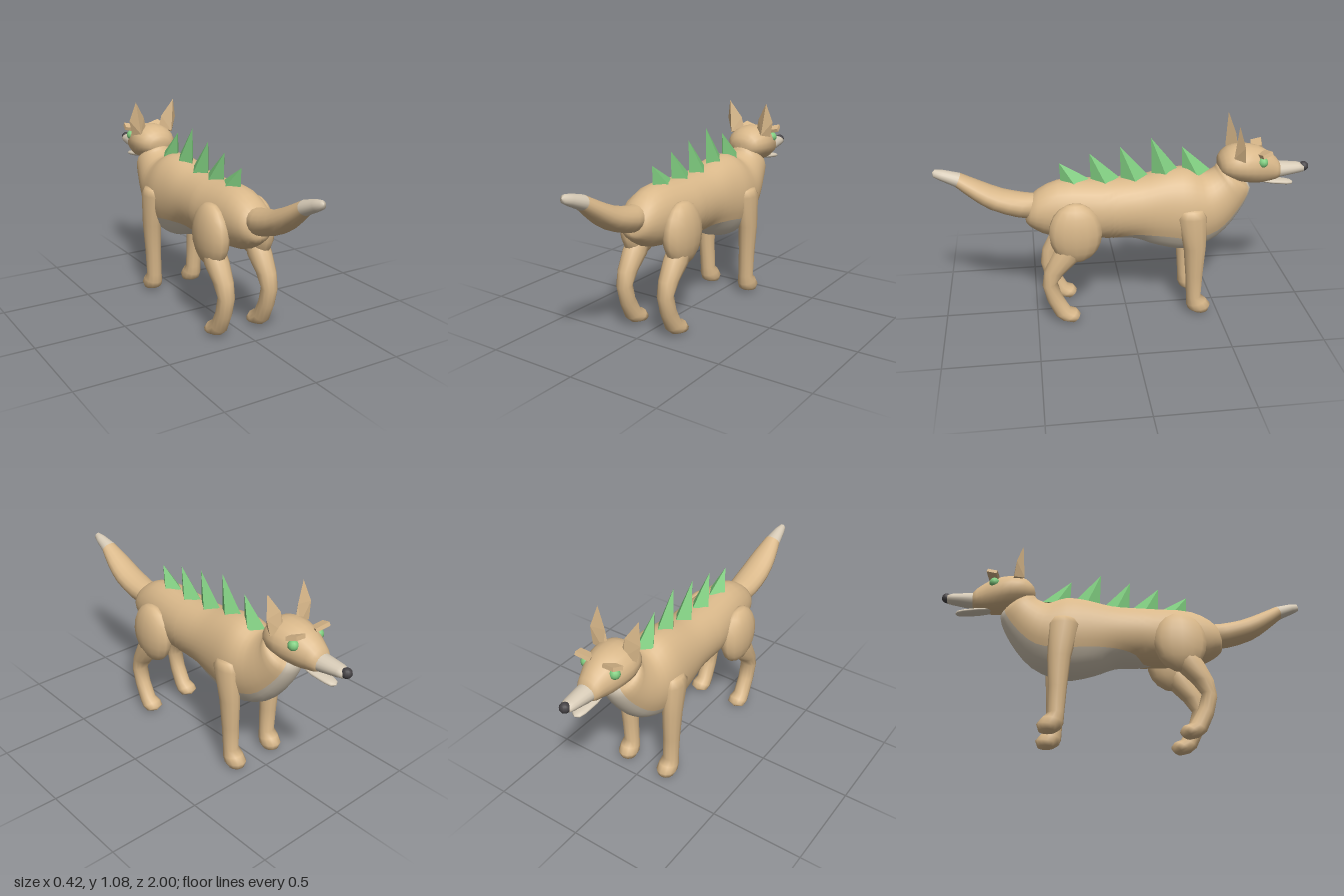
import * as THREE from 'three';
import { ConvexGeometry } from 'three/addons/geometries/ConvexGeometry.js';

const mat = (name, color) => Object.assign(new THREE.MeshStandardMaterial({ color }), { name });

// Insert smoothly interpolated rows between the given cross-sections.
function refine(rows, n) {
  const out = [];
  const at = (i, k) => rows[Math.min(Math.max(i, 0), rows.length - 1)][k] ?? 0;
  for (let i = 0; i < rows.length - 1; i++) {
    for (let s = 0; s < n; s++) {
      const t = s / n;
      out.push([0, 1, 2, 3, 4, 5].map((k) => {
        const a = at(i - 1, k), b = at(i, k), c = at(i + 1, k), d = at(i + 2, k);
        return b + 0.5 * t * (c - a + t * (2 * a - 5 * b + 4 * c - d + t * (3 * (b - c) + d - a)));
      }));
    }
  }
  out.push(rows[rows.length - 1]);
  return out;
}

// Skin elliptical rings. Row: [zA, yA, zB, yB, half width, extra]; A and B are opposite ring points.
// range(row) gives the start and end angle (0 at A), centre(row) the x offset.
function loft(rows, { sides = 16, range = () => [0, Math.PI * 2], centre = () => 0, closed = true } = {}) {
  const pos = [], idx = [], n = closed ? sides : sides + 1;
  rows.forEach((r) => {
    const [a, b] = range(r);
    for (let j = 0; j < n; j++) {
      const t = a + (b - a) * j / sides, c = Math.cos(t) / 2;
      pos.push(centre(r) + Math.max(r[4], 0) * Math.sin(t),
        (r[1] + r[3]) / 2 + (r[1] - r[3]) * c,
        (r[0] + r[2]) / 2 + (r[0] - r[2]) * c);
    }
  });
  for (let i = 0; i < rows.length - 1; i++) {
    for (let j = 0; j < sides; j++) {
      const k = (j + 1) % n, p = i * n, q = p + n;
      idx.push(p + j, p + k, q + j, p + k, q + k, q + j);
    }
  }
  const g = new THREE.BufferGeometry();
  g.setAttribute('position', new THREE.Float32BufferAttribute(pos, 3));
  g.setIndex(idx);
  g.computeVertexNormals();
  return g;
}

const hull = (pts) => new ConvexGeometry(pts.map((p) => new THREE.Vector3(...p)));

export function createModel() {
  const root = new THREE.Group();
  const tan = mat('tanFur', 0xd9b88a), cream = mat('creamFur', 0xd6cab6);
  const green = mat('green', 0x7fcc7f), dark = mat('darkNose', 0x454245);
  const add = (name, geo, material, x = 0, y = 0, z = 0) => {
    const m = new THREE.Mesh(geo, material);
    m.name = name;
    m.position.set(x, y, z);
    root.add(m);
    return m;
  };

  // Body and neck; the last number is the half angle of the pale underside
  const body = refine([
    [0.53, 0.62, 0.54, 0.58, 0, 0],
    [0.50, 0.71, 0.52, 0.54, 0.085, 0],
    [0.36, 0.785, 0.40, 0.475, 0.125, 0],
    [0.14, 0.785, 0.14, 0.45, 0.15, 0],
    [0.05, 0.785, 0.05, 0.445, 0.15, 0.6],
    [-0.08, 0.79, -0.05, 0.435, 0.15, 0.85],
    [-0.22, 0.82, -0.17, 0.385, 0.16, 1.03],
    [-0.33, 0.825, -0.33, 0.355, 0.17, 1.05],
    [-0.42, 0.79, -0.50, 0.42, 0.15, 0.95],
    [-0.48, 0.81, -0.62, 0.56, 0.125, 0.85],
    [-0.50, 0.83, -0.68, 0.70, 0.10, 0.7],
    [-0.56, 0.80, -0.62, 0.75, 0, 0.7],
  ], 3);
  const belly = (r) => Math.max(r[5], 0);
  add('body', loft(body, {
    sides: 24, closed: false, range: (r) => [belly(r) - Math.PI, Math.PI - belly(r)],
  }), tan);
  add('belly', loft(body.filter((r) => r[0] < 0.15), {
    sides: 10, closed: false, range: (r) => [Math.PI - belly(r), Math.PI + belly(r)],
  }), cream);

  // Tail with pale tip
  const seam = [0.858, 0.853, 0.89, 0.785, 0.046];
  add('tailTip', loft([
    [1.0, 0.868, 1.0, 0.862, 0],
    [0.985, 0.882, 0.997, 0.842, 0.018],
    [0.94, 0.876, 0.965, 0.823, 0.03],
    seam,
  ]), cream);
  add('tail', loft(refine([
    seam,
    [0.756, 0.80, 0.81, 0.715, 0.07],
    [0.645, 0.75, 0.72, 0.65, 0.082],
    [0.53, 0.722, 0.585, 0.597, 0.08],
    [0.46, 0.71, 0.50, 0.59, 0.06],
    [0.44, 0.65, 0.44, 0.65, 0],
  ], 2)), tan);

  // Head, snout and open lower jaw
  add('head', loft(refine([
    [-0.498, 0.85, -0.498, 0.82, 0],
    [-0.505, 0.885, -0.51, 0.785, 0.07],
    [-0.55, 0.928, -0.56, 0.752, 0.112],
    [-0.62, 0.942, -0.64, 0.735, 0.125],
    [-0.71, 0.93, -0.72, 0.725, 0.105],
    [-0.79, 0.885, -0.78, 0.73, 0.075],
    [-0.835, 0.835, -0.83, 0.745, 0.053],
    [-0.84, 0.79, -0.84, 0.78, 0],
  ], 2), { sides: 18 }), tan);
  add('snout', loft([
    [-0.78, 0.845, -0.78, 0.745, 0.05],
    [-0.84, 0.835, -0.84, 0.748, 0.052],
    [-0.94, 0.825, -0.94, 0.765, 0.04],
    [-0.97, 0.815, -0.97, 0.772, 0.032],
    [-0.975, 0.795, -0.975, 0.79, 0],
  ]), cream);
  add('lowerJaw', loft([
    [-0.72, 0.745, -0.72, 0.73, 0.03],
    [-0.80, 0.742, -0.80, 0.712, 0.04],
    [-0.88, 0.73, -0.88, 0.702, 0.034],
    [-0.91, 0.723, -0.91, 0.7, 0.024],
    [-0.922, 0.712, -0.922, 0.708, 0],
  ]), cream);
  add('nose', new THREE.SphereGeometry(0.027, 12, 8), dark, 0, 0.8, -0.975);

  // Back spikes: upright rear edge, sloping front, diamond base
  [[0.27, 0.885], [0.11, 0.93], [-0.05, 0.96], [-0.215, 1.0], [-0.38, 0.945]].forEach(([z, tip], i) => {
    const base = i > 2 ? 0.79 : 0.77;
    add('backSpike', hull([
      [0, tip, z + 0.08], [0, base, z + 0.075], [0, base + 0.02, z - 0.075],
      [0.05, base, z], [-0.05, base, z],
    ]), green);
  });

  for (const s of [1, -1]) {
    const side = s > 0 ? 'left' : 'right';

    // Ear: leaf outline with a ridge on the rear face
    add(side + 'Ear', hull([
      [0.121, 1.085, -0.575], [0.058, 0.987, -0.605], [0.15, 0.975, -0.605],
      [0.043, 0.922, -0.61], [0.132, 0.886, -0.615], [0.06, 0.89, -0.625],
      [0.1, 0.9, -0.56], [0.105, 0.975, -0.575],
    ].map(([x, y, z]) => [s * x, y, z])), tan);

    // Eye and brow
    add(side + 'Eye', new THREE.SphereGeometry(0.028, 12, 8), green, s * 0.085, 0.866, -0.72);
    const brow = add(side + 'Brow', new THREE.BoxGeometry(0.08, 0.02, 0.058), tan, s * 0.082, 0.91, -0.728);
    brow.rotation.set(0.3, s * 0.25, s * 0.15);

    // Front leg: rows run downward, point A faces forward
    add(side + 'FrontLeg', loft([
      [-0.34, 0.645, -0.33, 0.645, 0],
      [-0.395, 0.64, -0.28, 0.635, 0.035],
      [-0.418, 0.60, -0.257, 0.60, 0.052],
      [-0.42, 0.42, -0.297, 0.42, 0.05],
      [-0.41, 0.25, -0.313, 0.25, 0.044],
      [-0.405, 0.11, -0.322, 0.11, 0.043],
      [-0.435, 0.085, -0.324, 0.06, 0.052],
      [-0.46, 0.05, -0.335, 0.03, 0.054],
      [-0.448, 0.015, -0.36, 0.015, 0.044],
      [-0.42, 0.003, -0.41, 0.003, 0],
    ], { sides: 12, centre: (r) => s * (0.128 + 0.022 * Math.min(r[1] / 0.6, 1)) }), tan);

    // Thigh
    const thigh = add(side + 'Thigh', new THREE.SphereGeometry(1, 14, 10), tan, s * 0.137, 0.54, 0.282);
    thigh.scale.set(0.074, 0.17, 0.142);

    // Hind shank and paw
    add(side + 'HindLeg', loft([
      [0.24, 0.45, 0.37, 0.47, 0.06],
      [0.265, 0.385, 0.405, 0.425, 0.062],
      [0.34, 0.315, 0.455, 0.325, 0.052],
      [0.388, 0.255, 0.468, 0.235, 0.046],
      [0.365, 0.17, 0.445, 0.135, 0.044],
      [0.32, 0.085, 0.405, 0.045, 0.045],
      [0.285, 0.07, 0.37, 0.015, 0.054],
      [0.268, 0.045, 0.325, 0.004, 0.05],
      [0.275, 0.02, 0.285, 0.01, 0],
    ], { sides: 12, centre: () => s * 0.132 }), tan);
  }
  return root;
}
